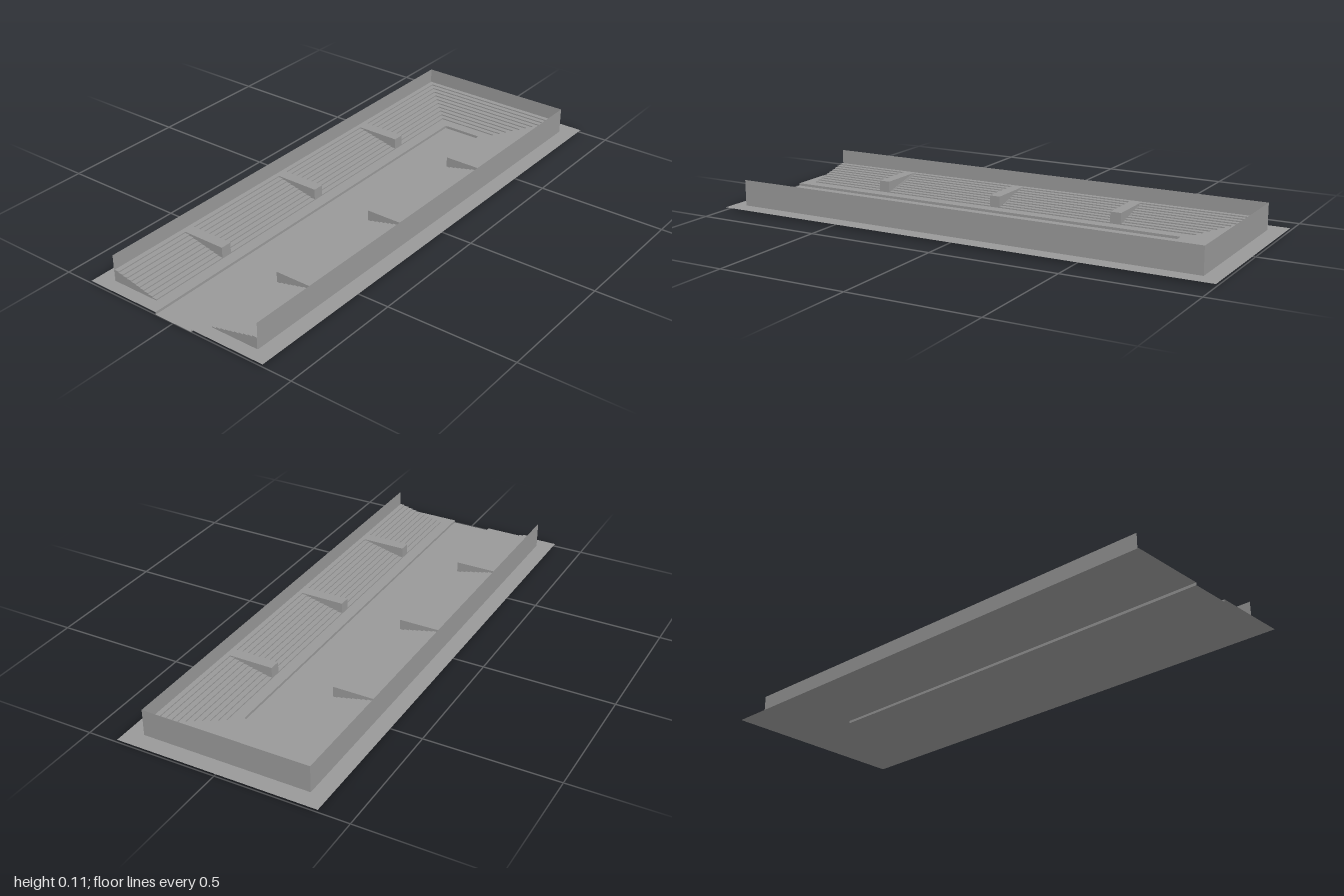
import * as THREE from 'three';

const GROUND = 0.01, DECK = 0.055, WALL_TOP = 0.112;
const HALF_W = 0.385, CHANNEL = 0.08, CHANNEL_END = -0.695;
const WALL_X = 0.322, BACK_Z = -0.935, FRONT_Z = 0.95;
const INNER_X = 0.125, INNER_Z = -0.738, STEPS = 10;

// Sheet joining neighbouring rows of points
function sheet(rows) {
  const pos = [];
  for (let i = 0; i < rows.length - 1; i++) {
    for (let j = 0; j < rows[i].length - 1; j++) {
      const a = rows[i][j], b = rows[i][j + 1], c = rows[i + 1][j + 1], d = rows[i + 1][j];
      pos.push(...a, ...b, ...c, ...a, ...c, ...d);
    }
  }
  const g = new THREE.BufferGeometry();
  g.setAttribute('position', new THREE.Float32BufferAttribute(pos, 3));
  g.computeVertexNormals();
  return g;
}

// Flat shape given as [x, z] corners, laid at height y
function flat(corners, y) {
  const shape = new THREE.Shape(corners.map(([x, z]) => new THREE.Vector2(x, -z)));
  return new THREE.ShapeGeometry(shape).rotateX(-Math.PI / 2).translate(0, y, 0);
}

export function createModel() {
  const group = new THREE.Group();
  const material = new THREE.MeshStandardMaterial({
    color: 0x999999, flatShading: true, side: THREE.DoubleSide,
  });
  const add = (name, geometry) => {
    const mesh = new THREE.Mesh(geometry, material);
    mesh.name = name;
    group.add(mesh);
    return mesh;
  };

  // Ground with a sunken central channel, open at the front
  const c = 0.003;
  const channel = [
    [-CHANNEL, 1], [-CHANNEL, CHANNEL_END + c], [-CHANNEL + c, CHANNEL_END],
    [CHANNEL - c, CHANNEL_END], [CHANNEL, CHANNEL_END + c], [CHANNEL, 1],
  ];
  add('ground', flat([[-HALF_W, 1], ...channel, [HALF_W, 1], [HALF_W, -1], [-HALF_W, -1]], GROUND));
  add('channelFloor', flat(channel, 0));
  add('channelSides', sheet([0, GROUND].map((y) => channel.map(([x, z]) => [x, y, z]))));

  // Thin outer wall around both sides and the back
  const wallPath = [[-WALL_X, FRONT_Z], [-WALL_X, BACK_Z], [WALL_X, BACK_Z], [WALL_X, FRONT_Z]];
  add('outerWall', sheet([GROUND, WALL_TOP].map((y) => wallPath.map(([x, z]) => [x, y, z]))));

  // Stair profile: outward offset and height, ending in a narrow top row
  const tread = (0.3 - INNER_X) / (STEPS - 1), riser = (DECK - GROUND) / STEPS;
  const profile = [[0, GROUND]];
  for (let i = 0; i < STEPS; i++) {
    const y = GROUND + (i + 1) * riser;
    profile.push([i * tread, y], [(i + 1) * tread, y]);
  }
  profile.push([STEPS * tread, GROUND]);

  // Tiered stand swept in a U with mitred back corners
  add('tieredStand', sheet(profile.map(([d, y]) => {
    const x = INNER_X + d, z = INNER_Z - d;
    return [[x, y, FRONT_Z], [x, y, z], [-x, y, z], [-x, y, FRONT_Z]];
  })));

  for (const side of [-1, 1]) {
    // Closed front end of each stand
    const end = new THREE.Shape(profile.map(([d, y]) => new THREE.Vector2(side * (INNER_X + d), y)));
    add(side > 0 ? 'leftStandEnd' : 'rightStandEnd', new THREE.ShapeGeometry(end).translate(0, 0, FRONT_Z));

    // Blocks dividing the stands into sections
    for (const z of [-0.42, 0.092, 0.604]) {
      const block = add('standDivider', new THREE.BoxGeometry(0.175, DECK - GROUND, 0.044));
      block.position.set(side * (INNER_X + 0.0875), (DECK + GROUND) / 2, z);
    }
  }
  return group;
}
